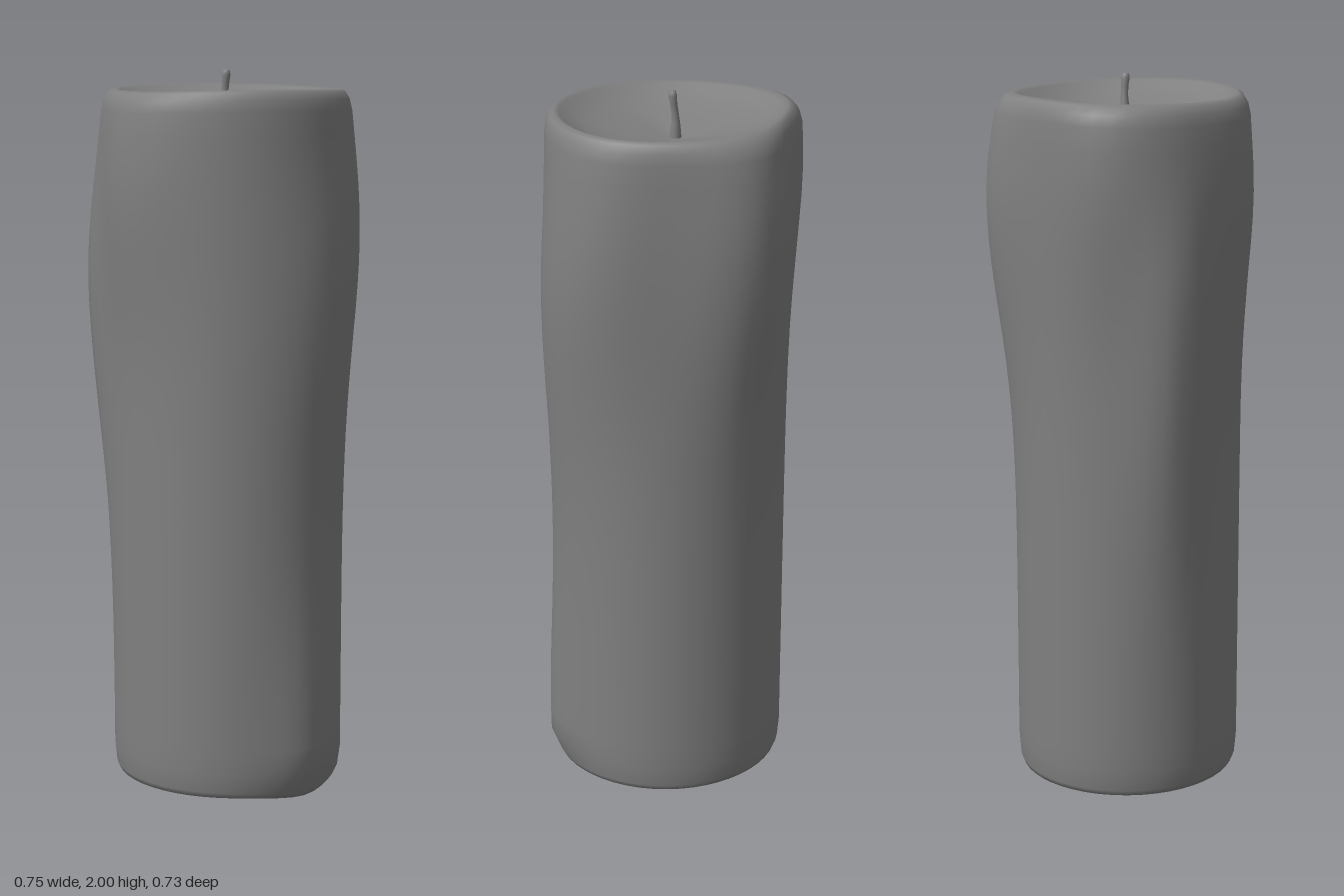
import * as THREE from 'three';

// Closed skin over stacked rings; point(row, angle) returns [x, y, z].
// Angle runs from +x towards +z, rows run from the bottom to the top.
function loft(rows, segments, point) {
  const positions = [], index = [];
  rows.forEach((row) => {
    for (let i = 0; i < segments; i++) positions.push(...point(row, (i / segments) * Math.PI * 2));
  });
  for (let r = 0; r < rows.length - 1; r++) {
    for (let i = 0; i < segments; i++) {
      const j = (i + 1) % segments;
      const a = r * segments + i, b = r * segments + j;
      const c = a + segments, d = b + segments;
      index.push(a, c, b, b, c, d);
    }
  }
  const geometry = new THREE.BufferGeometry();
  geometry.setAttribute('position', new THREE.Float32BufferAttribute(positions, 3));
  geometry.setIndex(index);
  geometry.computeVertexNormals();
  return geometry;
}

// Swellings of melted wax: [angle in degrees, height, angular width, spread above, spread below, amount]
const SWELLINGS = [
  [250, 1.67, 20, 0.24, 0.32, 0.075],  // back
  [173, 1.78, 20, 0.24, 0.26, 0.052],  // right-hand side, below the rim
  [144, 1.38, 13, 0.26, 0.38, 0.06],   // long run on the front right
  [100, 1.69, 20, 0.22, 0.24, 0.04],   // front
  [355, 1.42, 20, 0.24, 0.32, 0.03],   // left-hand side
  [326, 1.62, 18, 0.24, 0.28, 0.032],  // back left
  [8, 0.12, 12, 0.3, 0.12, 0.027],     // run down to the foot
];

const bell = (d, width) => Math.exp(-0.5 * (d / width) ** 2);

function angleGap(a, degrees) {
  const d = (a * 180) / Math.PI - degrees;
  return ((((d + 180) % 360) + 360) % 360) - 180;
}

const plainRadius = (a) => 0.323 + 0.01 * Math.cos(a) + 0.012 * Math.sin(a) + 0.007 * Math.cos(2 * a);

function swelling(a, y) {
  let sum = 0;
  for (const [deg, h, w, above, below, amount] of SWELLINGS) {
    sum += amount * bell(angleGap(a, deg), w) * bell(y - h, y > h ? above : below);
  }
  return sum;
}

// Outline of the candle as [fraction of the wall radius, height]
function waxProfile() {
  const rows = [[0, 0.02], [0.5, 0.02], [0.92, 0.02], [0.965, 0.02], [0.985, 0.035], [1, 0.09]];
  for (let y = 0.15; y < 1.87; y += 0.07) rows.push([1, y]);
  rows.push(
    [1, 1.895], [0.99, 1.925], [0.965, 1.945], [0.93, 1.952], [0.89, 1.946],
    [0.82, 1.93], [0.7, 1.912], [0.52, 1.897], [0.34, 1.887], [0.18, 1.878], [0.08, 1.872], [0, 1.872],
  );
  return rows;
}

function waxPoint([f, y], a) {
  // swellings fade out across the rim, leaving a rounder pool
  let r = f * (plainRadius(a) + swelling(a, y) * f ** 8);
  let height = y;
  // uneven rim and pool
  if (y > 1.86) height += 0.004 * f * Math.sin(2 * a + 0.6) + 0.01 * f * (1 - f) * Math.sin(3 * a);
  // the foot sags to the ground and tucks in
  if (y < 0.05) {
    const sag = 0.02 * bell(angleGap(a, 4), 18) * Math.max(0, (f - 0.6) / 0.365);
    height -= sag;
    r -= 0.8 * sag;
  }
  return [r * Math.cos(a), height, r * Math.sin(a)];
}

export function createModel() {
  const model = new THREE.Group();
  const material = new THREE.MeshStandardMaterial({ color: 0x808080 });

  const wax = new THREE.Mesh(loft(waxProfile(), 48, waxPoint), material);
  wax.name = 'waxBody';
  model.add(wax);

  // Bent wick: [x, y, z, radius]
  const wickRows = [
    [-0.008, 1.86, 0.008, 0.017], [-0.008, 1.885, 0.008, 0.016], [-0.009, 1.91, 0.007, 0.012],
    [-0.006, 1.94, 0.005, 0.01], [-0.002, 1.965, 0.005, 0.01], [0, 1.985, 0.006, 0.012],
    [0.001, 1.998, 0.006, 0.01], [0.001, 2, 0.006, 0],
  ];
  const wick = new THREE.Mesh(
    loft(wickRows, 10, ([x, y, z, r], a) => [x + r * Math.cos(a), y, z + r * Math.sin(a)]),
    material,
  );
  wick.name = 'wick';
  model.add(wick);

  return model;
}
